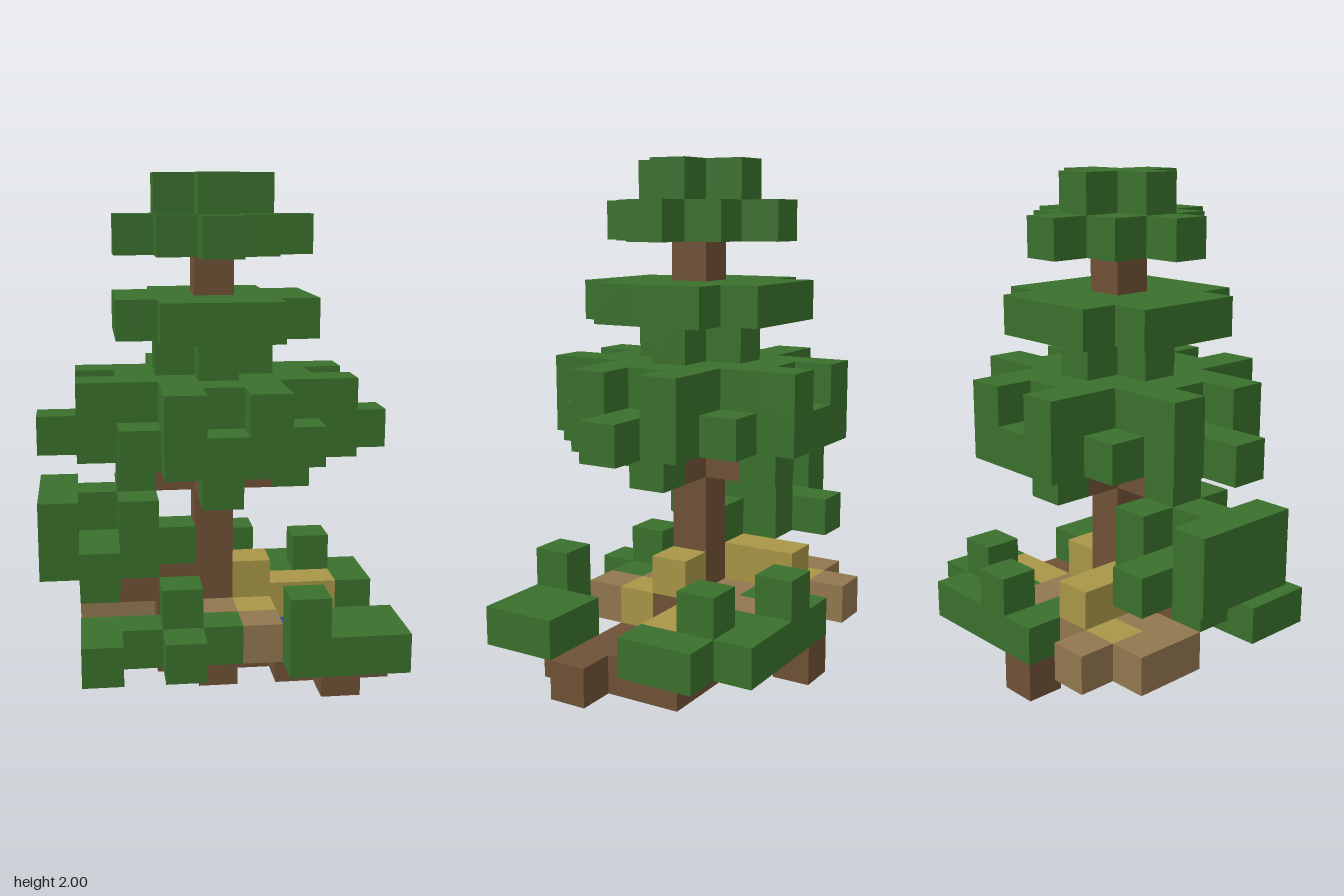
import * as THREE from 'three';
import { mergeGeometries } from 'three/addons/utils/BufferGeometryUtils.js';

const U = 2 / 13; // cube size
const H = Math.PI / 2;

const material = (name, color) => {
  const m = new THREE.MeshStandardMaterial({ color });
  m.name = name;
  return m;
};

// Row of cubes on layer y at depth z, from x0 to x1
function row(y, z, x0, x1 = x0) {
  const out = [];
  for (let x = x0; x <= x1; x++) out.push([x, y, z]);
  return out;
}

// Round layer of cubes whose squared distance from the centre passes the test
function disc(y, test, centre = 0) {
  const out = [];
  for (let x = -4; x <= 4; x++)
    for (let z = -4; z <= 4; z++)
      if (test(x * x + z * z)) out.push([x + centre, y, z]);
  return out;
}
const within = (limit) => (d) => d <= limit;

// Square facing one of the six directions, given as a unit vector
function side(d) {
  const face = new THREE.PlaneGeometry(U, U);
  if (d.y) face.rotateX(-d.y * H);
  else face.rotateY(d.x ? d.x * H : (1 - d.z) * H);
  return face.translate(d.x * U / 2, d.y * U / 2, d.z * U / 2);
}

export function createModel() {
  const group = new THREE.Group();
  group.name = 'blockTree';
  const leaf = material('leaf green', 0x3a702c);
  const bark = material('bark brown', 0x6f5136);
  const earth = material('earth tan', 0x92774f);
  const straw = material('straw yellow', 0xa89646);
  const water = material('water blue', 0x3347a8);

  // Each cube belongs to the first part that claims it
  const owner = new Map();
  const parts = [];
  const add = (name, mat, ...lists) => {
    const cells = lists.flat().filter((c) => !owner.has(String(c)));
    cells.forEach((c) => owner.set(String(c), name));
    parts.push({ name, mat, cells });
  };

  // trunk with a cross of boughs under the crown
  for (let y = 0; y < 12; y++) add('trunk', bark, row(y, 0, 0));
  add('boughs', bark, disc(5, within(1)));
  add('sideBranch', bark, row(2, 0, -2, -1));

  // crown, from the top down
  add('crownTop', leaf, disc(12, within(1)));
  add('crownUpperTier', leaf, disc(11, within(4)));
  add('crownMiddleTier', leaf, disc(9, within(5)), disc(8, within(1)));
  add('crownLowerTier', leaf, disc(7, (d) => d <= 5 || d === 10));
  add('crownBrim', leaf, disc(6, within(10)), row(6, 0, -4, 4));
  add('crownUnderside', leaf, disc(5, (d) => d === 4));

  // leafy clump on the side branch
  add('branchLeaves', leaf,
    disc(3, within(4), -3).filter(([x]) => x >= -4),
    disc(4, within(2), -3).filter(([x, , z]) => x !== -3 || z === 0),
    row(2, 0, -3));

  // bushes around the foot
  add('frontRightBush', leaf, row(1, 2, -3, 0), row(1, 3, -3), row(1, 3, -1), row(2, 2, -1));
  add('frontLeftBush', leaf, row(1, 3, 2, 4), row(1, 2, 3, 4), row(2, 3, 2));
  add('backLeftBush', leaf, row(1, -1, 4), row(1, -2, 2, 4), row(1, -2, 0),
    row(1, -3, 0, 3), row(2, -2, 3), row(2, -3, 1));

  // ground
  add('pond', water, row(0, 0, 2));
  add('soil', bark, row(0, 2, 3), row(0, 1, 2, 4), row(0, 1, 0), row(0, 0, -1, 3),
    row(0, -1, 0, 3), row(0, -3, 0), row(1, 0, -1, 1));
  add('dryGrass', straw, row(1, 1, 1), row(1, -1, 2, 3), row(1, -2, -2),
    row(2, 0, 1), row(2, -1, -1), row(2, -2, -1));
  add('path', earth, row(1, 2, 1), row(1, 1, 0), row(1, -1, -3, 1), row(1, -2, -3, 1),
    row(1, -3, -2));

  // the six directions
  const directions = ['x', 'y', 'z'].flatMap((axis) =>
    [1, -1].map((s) => new THREE.Vector3()['set' + axis.toUpperCase()](s)));

  // build only the cube sides that have no neighbour
  for (const { name, mat, cells } of parts) {
    const faces = [];
    for (const [x, y, z] of cells)
      for (const d of directions)
        if (!owner.has(String([x + d.x, y + d.y, z + d.z])))
          faces.push(side(d).translate(x * U, (y + 0.5) * U, z * U));
    if (!faces.length) continue;
    const mesh = new THREE.Mesh(mergeGeometries(faces), mat);
    mesh.name = name;
    group.add(mesh);
  }
  return group;
}
